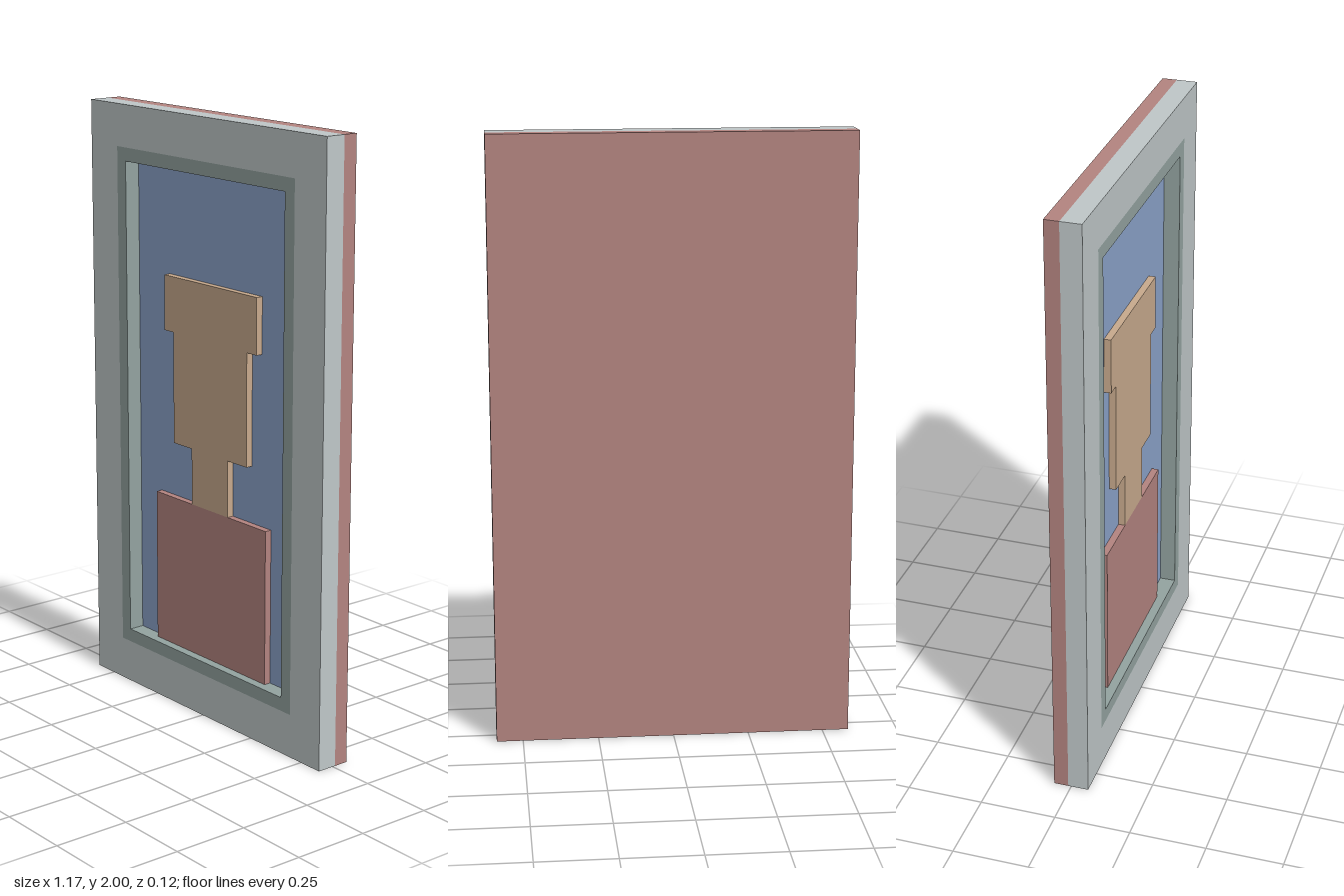
import * as THREE from 'three';

const paint = (name, color) => {
  const m = new THREE.MeshStandardMaterial({ color });
  m.name = name;
  return m;
};

// Closed outline from [x, y] points
const trace = (path, points) => {
  points.forEach(([x, y], i) => (i ? path.lineTo(x, y) : path.moveTo(x, y)));
  path.closePath();
  return path;
};
const rect = (w, y0, y1) => [[-w, y0], [w, y0], [w, y1], [-w, y1]];

// Flat slab cut to an outline, with an optional opening, between two depths
function slab(name, material, points, z0, z1, opening) {
  const shape = trace(new THREE.Shape(), points);
  if (opening) shape.holes.push(trace(new THREE.Path(), opening));
  const geometry = new THREE.ExtrudeGeometry(shape, { depth: z1 - z0, bevelEnabled: false });
  geometry.translate(0, 0, z0);
  const mesh = new THREE.Mesh(geometry, material);
  mesh.name = name;
  return mesh;
}

export function createModel() {
  const grey = paint('frame grey', 0xbfc7c8);
  const green = paint('lip grey green', 0x93a3a0);
  const blue = paint('background blue', 0x8ba2c9);
  const tan = paint('skin tan', 0xc8aa8d);
  const red = paint('muted red', 0xb38480);

  const back = -0.058, split = -0.01, canvas = 0.005, relief = 0.028, front = 0.058;
  const outer = rect(0.587, 0, 2);
  const lip = rect(0.445, 0.145, 1.86);
  const opening = rect(0.4, 0.19, 1.815);

  // Half outline of neck, face and hair, mirrored to the other side
  const half = [[0.093, 0.71], [0.093, 0.9], [0.188, 0.9], [0.188, 1.275], [0.235, 1.275], [0.235, 1.46]];
  const head = [...half, ...half.map(([x, y]) => [-x, y]).reverse()];

  const group = new THREE.Group();
  group.name = 'framedPortrait';
  group.add(
    slab('backBoard', red, outer, back, split),
    slab('frame', grey, outer, split, front, lip),
    slab('innerLip', green, lip, split, front, opening),
    slab('background', blue, opening, split, canvas),
    slab('portraitHead', tan, head, canvas, relief),
    slab('portraitBody', red, rect(0.284, 0.19, 0.71), canvas, relief),
  );
  return group;
}
